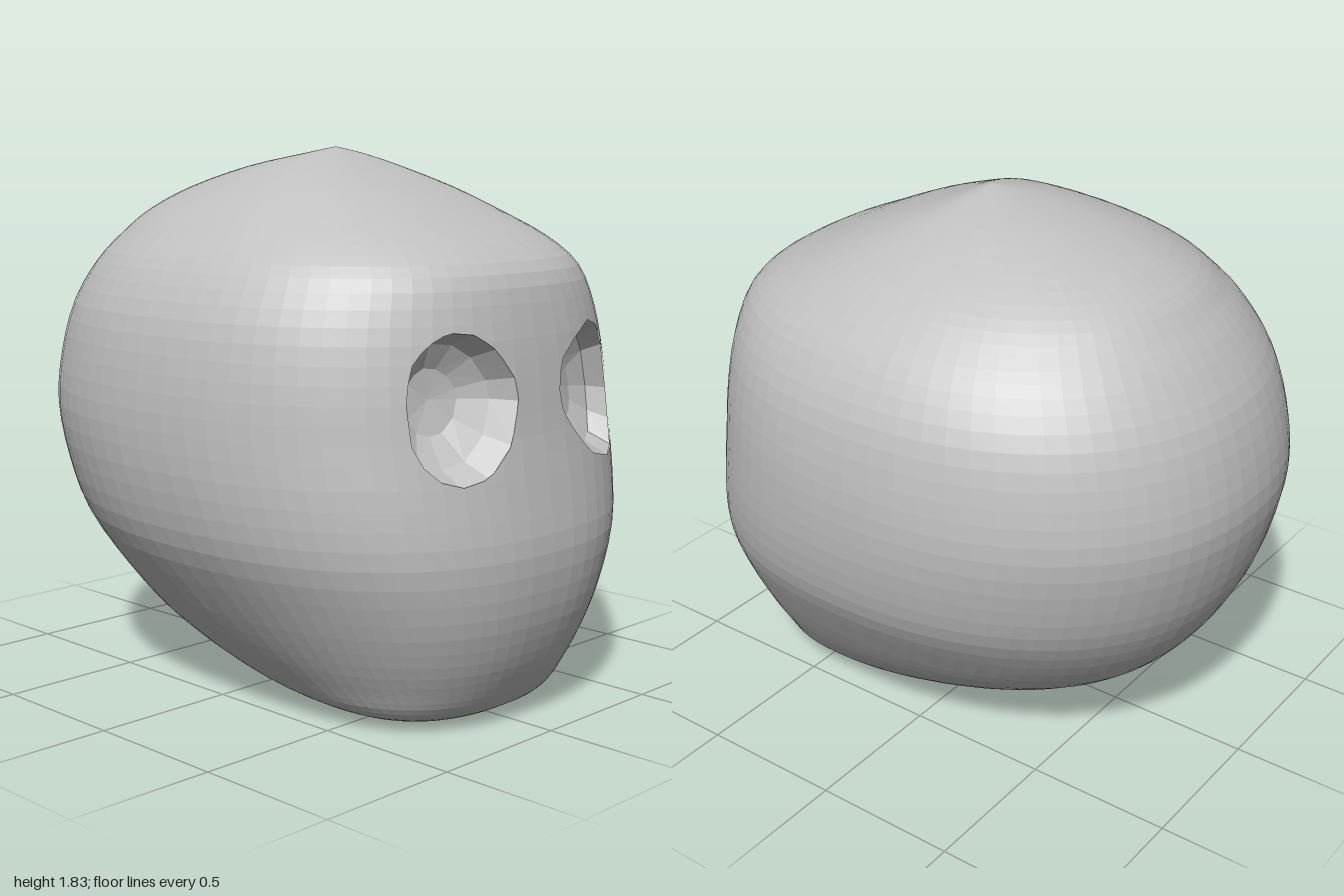
import * as THREE from 'three';

// Horizontal sections: [height, half width, front z, back z, z of widest point]
const SECTIONS = [
  [0, 0, 0.55, 0.55, 0.55],
  [0.006, 0.25, 0.7, 0.4, 0.55],
  [0.03, 0.38, 0.79, 0.15, 0.48],
  [0.07, 0.455, 0.84, -0.17, 0.42],
  [0.14, 0.515, 0.885, -0.43, 0.34],
  [0.25, 0.595, 0.937, -0.65, 0.26],
  [0.4, 0.69, 0.982, -0.8, 0.18],
  [0.58, 0.79, 1.0, -0.905, 0.1],
  [0.76, 0.835, 0.978, -0.967, 0.05],
  [0.95, 0.85, 0.948, -1.0, 0],
  [1.13, 0.838, 0.926, -0.977, 0],
  [1.3, 0.8, 0.9, -0.92, 0],
  [1.44, 0.725, 0.858, -0.83, 0],
  [1.53, 0.64, 0.75, -0.75, 0],
  [1.61, 0.54, 0.58, -0.665, 0],
  [1.69, 0.405, 0.4, -0.51, 0.02],
  [1.76, 0.25, 0.21, -0.28, 0.03],
  [1.803, 0.105, 0.105, -0.06, 0.04],
  [1.825, 0, 0.04, 0.04, 0.04],
];
const FRONT_POWER = 2.4, BACK_POWER = 2.15;

const spline = (pick) => new THREE.CatmullRomCurve3(
  SECTIONS.map((s) => new THREE.Vector3(s[0], ...pick(s))), false, 'catmullrom', 0.5);
const outer = spline((s) => [s[1], s[2]]);
const inner = spline((s) => [s[3], s[4]]);

function section(t) {
  const a = outer.getPoint(t), b = inner.getPoint(t);
  return { y: Math.max(0, a.x), w: Math.max(0, a.y), front: a.z, back: b.y, mid: b.z };
}

// Point on the skull surface at section t and angle a (0 = left side, PI/2 = front)
function surfacePoint(t, a) {
  const s = section(t), c = Math.cos(a), d = Math.sin(a);
  const e = 2 / (d >= 0 ? FRONT_POWER : BACK_POWER);
  const reach = d >= 0 ? s.front - s.mid : s.back - s.mid;
  return new THREE.Vector3(
    s.w * Math.sign(c) * Math.abs(c) ** e, s.y, s.mid + reach * Math.abs(d) ** e);
}

// Depth of the face at a given x, y
function faceZ(x, y) {
  let lo = 0, hi = 1;
  for (let i = 0; i < 24; i++) {
    const m = (lo + hi) / 2;
    if (section(m).y < y) lo = m; else hi = m;
  }
  const s = section(lo);
  const k = 1 - Math.min(1, Math.abs(x) / s.w) ** FRONT_POWER;
  return s.mid + (s.front - s.mid) * k ** (1 / FRONT_POWER);
}

// Socket outlines, counter-clockwise from the front
const SOCKETS = {
  leftEyeSocket: [[0.11, 1.01], [0.17, 0.93], [0.28, 0.845], [0.42, 0.82], [0.5, 0.84], [0.54, 0.92],
    [0.545, 1.02], [0.5, 1.17], [0.44, 1.24], [0.34, 1.275], [0.22, 1.23], [0.12, 1.16], [0.1, 1.07]],
  rightEyeSocket: [[-0.105, 1.06], [-0.115, 1.13], [-0.18, 1.22], [-0.26, 1.27], [-0.35, 1.28], [-0.42, 1.24],
    [-0.47, 1.18], [-0.49, 1.08], [-0.485, 0.95], [-0.44, 0.85], [-0.35, 0.82], [-0.25, 0.84], [-0.15, 0.93]],
};

// Signed distance outside a convex outline (negative inside)
function outside(p, outline) {
  let best = -Infinity;
  outline.forEach(([x0, y0], i) => {
    const [x1, y1] = outline[(i + 1) % outline.length];
    const dx = x1 - x0, dy = y1 - y0;
    best = Math.max(best, ((p.x - x0) * dy - (p.y - y0) * dx) / Math.hypot(dx, dy));
  });
  return best;
}

// Keep the part of a polygon that lies outside the sockets
function cutSockets(poly) {
  if (poly.some((p) => p.z < 0.5)) return poly;
  const field = (p) => Math.min(...Object.values(SOCKETS).map((o) => outside(p, o)));
  const out = [];
  poly.forEach((p, i) => {
    const q = poly[(i + 1) % poly.length], a = field(p), b = field(q);
    if (a >= 0) out.push(p);
    if (a * b < 0) out.push(p.clone().lerp(q, a / (a - b)));
  });
  return out;
}

// Unshared corners give flat facets
function facetGeometry(polys) {
  const pts = [];
  for (const p of polys) {
    for (let i = 1; i + 1 < p.length; i++) pts.push(p[0], p[i], p[i + 1]);
  }
  const g = new THREE.BufferGeometry().setFromPoints(pts);
  g.computeVertexNormals();
  return g;
}

function skullGeometry() {
  const rows = 54, cols = 72, polys = [];
  const at = (i, j) => surfacePoint(i / rows, ((j % cols) / cols) * Math.PI * 2);
  for (let i = 0; i < rows; i++) {
    for (let j = 0; j < cols; j++) {
      const a = at(i, j), b = at(i, j + 1), c = at(i + 1, j + 1), d = at(i + 1, j);
      if (i < rows - 1) polys.push(cutSockets([a, d, c]));
      else polys.push([a, d, b]);
      if (i > 0 && i < rows - 1) polys.push(cutSockets([a, c, b]));
    }
  }
  return facetGeometry(polys);
}

// Shallow faceted bowl behind each opening
function socketGeometry(outline) {
  const n = outline.length;
  const cx = outline.reduce((s, p) => s + p[0], 0) / n;
  const cy = outline.reduce((s, p) => s + p[1], 0) / n;
  const rings = [[1.01, 0.003], [0.82, 0.085], [0.45, 0.14], [0, 0.155]].map(([k, depth]) =>
    outline.map(([px, py]) => {
      const x = cx + (px - cx) * k, y = cy + (py - cy) * k;
      return new THREE.Vector3(x, y, faceZ(x, y) - depth);
    }));
  const polys = [];
  for (let r = 0; r < 3; r++) {
    for (let i = 0; i < n; i++) {
      const j = (i + 1) % n;
      const a = rings[r][i], b = rings[r][j], c = rings[r + 1][j], d = rings[r + 1][i];
      polys.push([a, b, c]);
      if (r < 2) polys.push([a, c, d]);
    }
  }
  return facetGeometry(polys);
}

export function createModel() {
  const group = new THREE.Group();
  group.name = 'head';
  const bone = new THREE.MeshStandardMaterial({ color: 0xc0c0c0 });
  bone.name = 'boneGrey';

  const skull = new THREE.Mesh(skullGeometry(), bone);
  skull.name = 'skull';
  group.add(skull);

  for (const [name, outline] of Object.entries(SOCKETS)) {
    const socket = new THREE.Mesh(socketGeometry(outline), bone);
    socket.name = name;
    group.add(socket);
  }
  return group;
}
